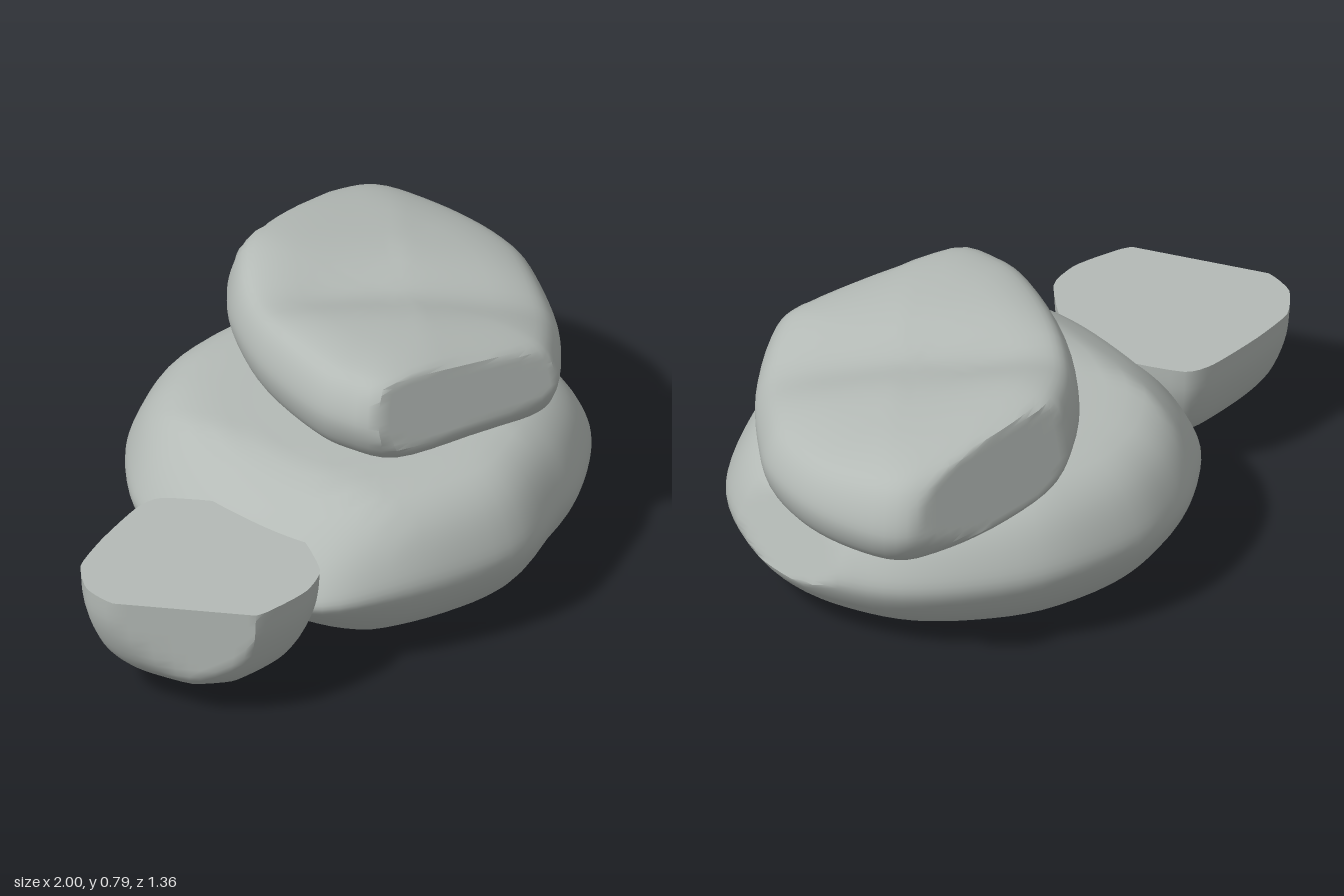
import * as THREE from 'three';
import { toCreasedNormals } from 'three/addons/utils/BufferGeometryUtils.js';

const stone = new THREE.MeshStandardMaterial({ color: 0xb4bab6 });
stone.name = 'grey stone';

// A rock: plan outline [x, z] swept through a side profile [scale, y],
// bent by a rule, then sliced flat by planes [nx, ny, nz, distance].
function rock(name, { centre: [cx, cz], outline, profile, bend, cuts, tension = 0.5 }) {
  const ring = new THREE.CatmullRomCurve3(
    outline.map(([x, z]) => new THREE.Vector3(x, 0, z)), true, 'catmullrom', tension
  ).getPoints(outline.length * 4).slice(0, -1);
  const side = new THREE.CatmullRomCurve3(
    profile.map(([s, y]) => new THREE.Vector3(s, y, 0)), false, 'centripetal'
  ).getPoints((profile.length - 1) * 4);

  const planes = cuts.map(([x, y, z, d]) => {
    const n = new THREE.Vector3(x, y, z);
    const length = n.length();
    return { n: n.divideScalar(length), d: d / length };
  });

  const positions = [];
  for (const { x: s, y } of side) {
    for (const p of ring) {
      const v = new THREE.Vector3(cx + (p.x - cx) * s, y, cz + (p.z - cz) * s);
      bend(v);
      for (const { n, d } of planes) {
        const over = v.dot(n) - d;
        if (over > 0) v.addScaledVector(n, -over);
      }
      positions.push(v.x, v.y, v.z);
    }
  }

  const index = [];
  const n = ring.length;
  const rows = side.length - 1;
  for (let i = 0; i < rows; i++) {
    for (let j = 0; j < n; j++) {
      const a = i * n + j;
      const b = i * n + (j + 1) % n;
      if (i > 0) index.push(a, a + n, b);
      if (i < rows - 1) index.push(b, a + n, b + n);
    }
  }

  const geometry = new THREE.BufferGeometry();
  geometry.setAttribute('position', new THREE.Float32BufferAttribute(positions, 3));
  geometry.setIndex(index);
  const mesh = new THREE.Mesh(toCreasedNormals(geometry, 0.7), stone);
  mesh.name = name;
  return mesh;
}

export function createModel() {
  const group = new THREE.Group();
  group.name = 'stacked rocks';

  // Wide base boulder, pinched at its right end, one flat chip on its left end
  group.add(rock('baseRock', {
    centre: [0.2, 0],
    outline: [
      [0.11, -0.68], [0.38, -0.65], [0.6, -0.54], [0.78, -0.39], [0.88, -0.22],
      [0.93, -0.05], [0.92, 0.12], [0.84, 0.32], [0.72, 0.45], [0.52, 0.57],
      [0.36, 0.62], [0.13, 0.675], [-0.1, 0.62], [-0.3, 0.52], [-0.47, 0.39],
      [-0.53, 0.2], [-0.51, -0.05], [-0.46, -0.22], [-0.37, -0.4], [-0.22, -0.55],
      [-0.08, -0.63],
    ],
    profile: [
      [0, 0], [0.45, 0.005], [0.71, 0.022], [0.86, 0.09], [0.96, 0.18], [1, 0.26],
      [0.97, 0.34], [0.89, 0.43], [0.76, 0.487], [0.4, 0.5], [0, 0.5],
    ],
    bend: (v) => {
      v.y -= 0.25 * v.y * Math.max(0, v.x - 0.35);
      v.y = 0.22 + (v.y - 0.22) * (1 - 1.7 * Math.max(0, -0.22 - v.x));
    },
    cuts: [[0.94, 0.34, 0, 0.913]],
  }));

  // Tilted flat rock on top, chipped at the front and the back
  group.add(rock('topRock', {
    centre: [0.43, -0.05],
    outline: [
      [0.36, -0.6], [0.6, -0.62], [0.8, -0.59], [0.92, -0.53], [0.98, -0.38],
      [1, -0.2], [0.97, -0.02], [0.9, 0.11], [0.75, 0.3], [0.56, 0.46],
      [0.45, 0.49], [0.2, 0.43], [-0.07, 0.35], [-0.13, 0.2], [-0.12, 0.05],
      [-0.03, -0.2], [0.1, -0.4], [0.22, -0.52],
    ],
    profile: [
      [0, 0.44], [0.6, 0.44], [0.84, 0.455], [0.95, 0.505], [1, 0.585],
      [0.98, 0.65], [0.91, 0.715], [0.76, 0.75], [0.4, 0.765], [0, 0.765],
    ],
    bend: (v) => {
      // Raise the upper back edge, ease down the front-left shoulder, and
      // press a shallow diagonal groove across the top
      const upper = Math.max(0, v.y - 0.6);
      const raise = 0.9 * Math.max(0, -v.z - 0.2) * (1.3 - v.x);
      const ease = 0.4 * Math.max(0, v.x + v.z - 0.45);
      const groove = 0.25 * Math.exp(-(((v.x - v.z - 0.45) / 0.2) ** 2));
      v.y += upper * (raise - ease - groove);
      v.y -= 0.09 * (v.x - 0.43);
    },
    cuts: [[0, 0.2, -0.98, 0.673], [-0.25, 0.24, 0.92, 0.462]],
  }));

  // Small side rock sliced level across the top and upright on its outer face
  group.add(rock('sideRock', {
    centre: [-0.66, 0.1],
    tension: 0.3,
    outline: [
      [-1, 0.03], [-0.985, -0.08], [-0.9, -0.17], [-0.75, -0.21],
      [-0.56, -0.235], [-0.47, -0.21], [-0.36, -0.02], [-0.36, 0.2],
      [-0.48, 0.39], [-0.59, 0.43], [-0.7, 0.42], [-0.82, 0.39], [-0.95, 0.26],
    ],
    profile: [
      [0, 0.063], [0.4, 0.07], [0.64, 0.1], [0.85, 0.18], [0.98, 0.3],
      [1, 0.39], [1, 0.42], [0.5, 0.44], [0, 0.44],
    ],
    bend: () => {},
    cuts: [[-0.87, 0, 0.5, 0.886], [0, 1, 0, 0.39]],
  }));

  return group;
}
